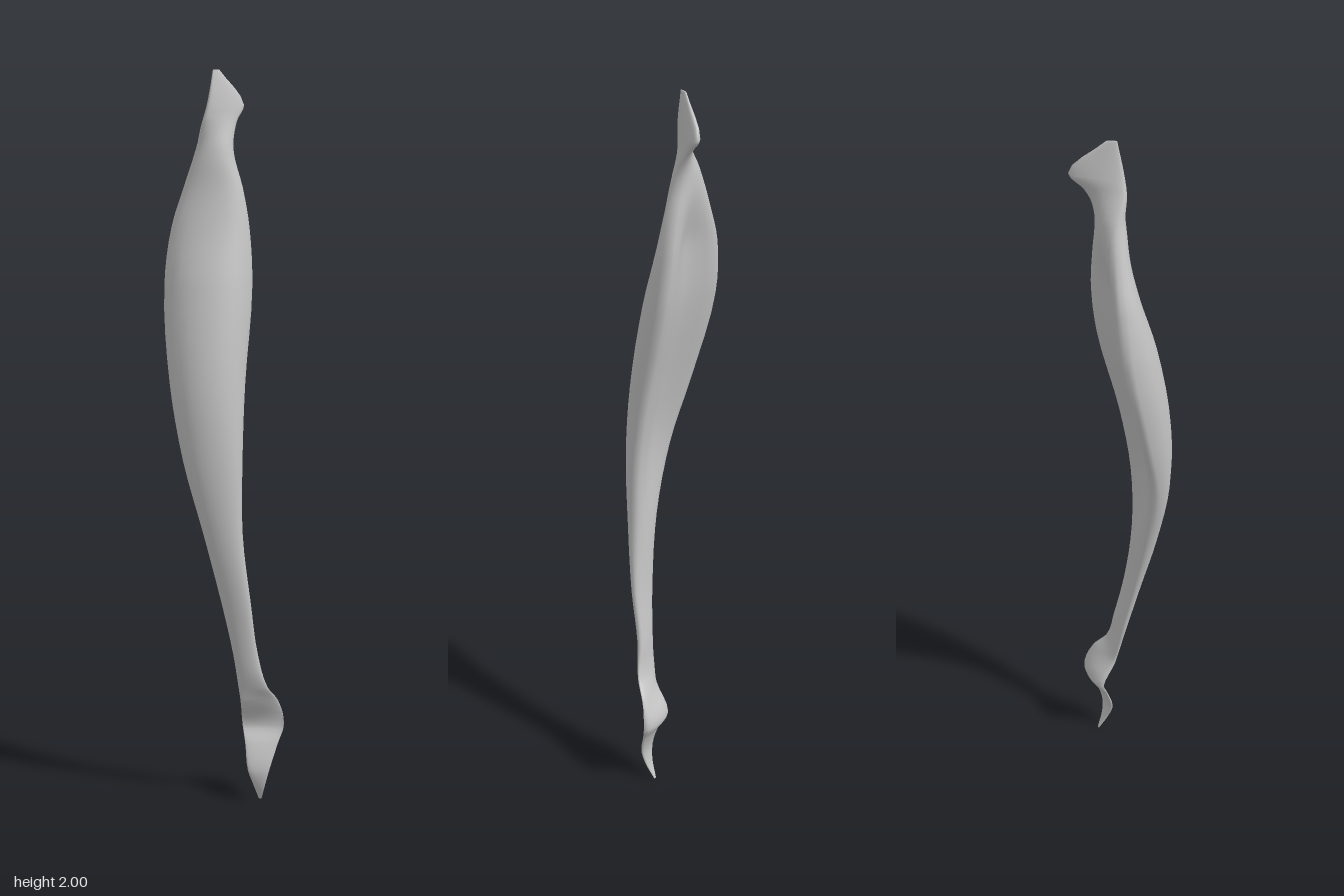
import * as THREE from 'three';

// Cross-sections from bottom to top:
// y, left edge x z, right edge x z, front bulge, back bulge
const sections = [
  [0, .092, -.035, .1, -.035, .002, .002],
  [.05, .08, -.012, .112, -.015, .005, .005],
  [.1, .065, -.002, .125, -.01, .006, .007],
  [.17, .055, -.02, .145, -.03, .004, .01],
  [.22, .045, -.036, .16, -.045, -.004, .022],
  [.3, .045, 0, .145, -.03, .006, .01],
  [.35, .04, .01, .12, .004, .008, .008],
  [.45, .028, .028, .095, .02, .015, .012],
  [.6, 0, .05, .08, .05, .02, .016],
  [.8, -.045, .075, .06, .07, .032, .028],
  [1, -.1, .07, .058, .065, .054, .032],
  [1.2, -.14, .025, .06, .035, .085, .035],
  [1.45, -.163, -.03, .07, -.02, .093, .042],
  [1.6, -.147, -.04, .06, -.035, .06, .046],
  [1.7, -.115, -.04, .042, -.04, .04, .037],
  [1.8, -.08, -.03, .015, -.05, .03, .028],
  [1.87, -.058, -.008, .017, -.085, .018, .015],
  [1.91, -.046, -.008, .03, -.12, .015, .014],
  [2, -.033, -.022, -.022, -.045, .003, .003],
];

const SIDES = 24, STEPS = 4;

// Ring around the chord: rounded front, hollow back along the belly
function ring([lx, lz, rx, rz, front, back], y) {
  const dx = rx - lx, dz = rz - lz, len = Math.hypot(dx, dz);
  const hollow = 1.1 * THREE.MathUtils.smoothstep(y, .7, 1.15)
    * (1 - THREE.MathUtils.smoothstep(y, 1.6, 1.8));
  const points = [];
  for (let j = 0; j < SIDES; j++) {
    const a = j / SIDES * Math.PI * 2;
    const u = (1 - Math.cos(a)) / 2;
    const s = Math.abs(Math.sin(a));
    const bulge = a < Math.PI ? front * s ** .9 : -back * (1.15 * s ** .8 - .15 * s - hollow * s ** 5);
    points.push(lx + dx * u - dz / len * bulge, y, lz + dz * u + dx / len * bulge);
  }
  return points;
}

function muscleGeometry() {
  const curve = new THREE.CubicInterpolant(
    sections.map(s => s[0]), sections.flatMap(s => s.slice(1)), 6, new Float32Array(6));
  const positions = [], index = [];
  let rings = 0;
  const addRing = y => { positions.push(...ring(Array.from(curve.evaluate(y)), y)); rings++; };
  for (let i = 0; i < sections.length - 1; i++)
    for (let k = 0; k < STEPS; k++)
      addRing(THREE.MathUtils.lerp(sections[i][0], sections[i + 1][0], k / STEPS));
  positions.push(...ring(sections.at(-1).slice(1), sections.at(-1)[0]));
  rings++;

  for (let i = 0; i < rings - 1; i++)
    for (let j = 0; j < SIDES; j++) {
      const n = (j + 1) % SIDES;
      const a = i * SIDES + j, b = i * SIDES + n, c = b + SIDES, d = a + SIDES;
      index.push(a, b, c, a, c, d);
    }
  // Close the two tips
  const top = (rings - 1) * SIDES;
  for (let j = 1; j < SIDES - 1; j++)
    index.push(0, j + 1, j, top, top + j, top + j + 1);

  const geometry = new THREE.BufferGeometry();
  geometry.setAttribute('position', new THREE.Float32BufferAttribute(positions, 3));
  geometry.setIndex(index);
  geometry.computeVertexNormals();
  return geometry;
}

export function createModel() {
  const grey = new THREE.MeshStandardMaterial({ color: 0xc4c4c4 });
  grey.name = 'light grey';
  const muscle = new THREE.Mesh(muscleGeometry(), grey);
  muscle.name = 'muscle';
  const model = new THREE.Group();
  model.name = 'legMuscle';
  model.add(muscle);
  return model;
}
